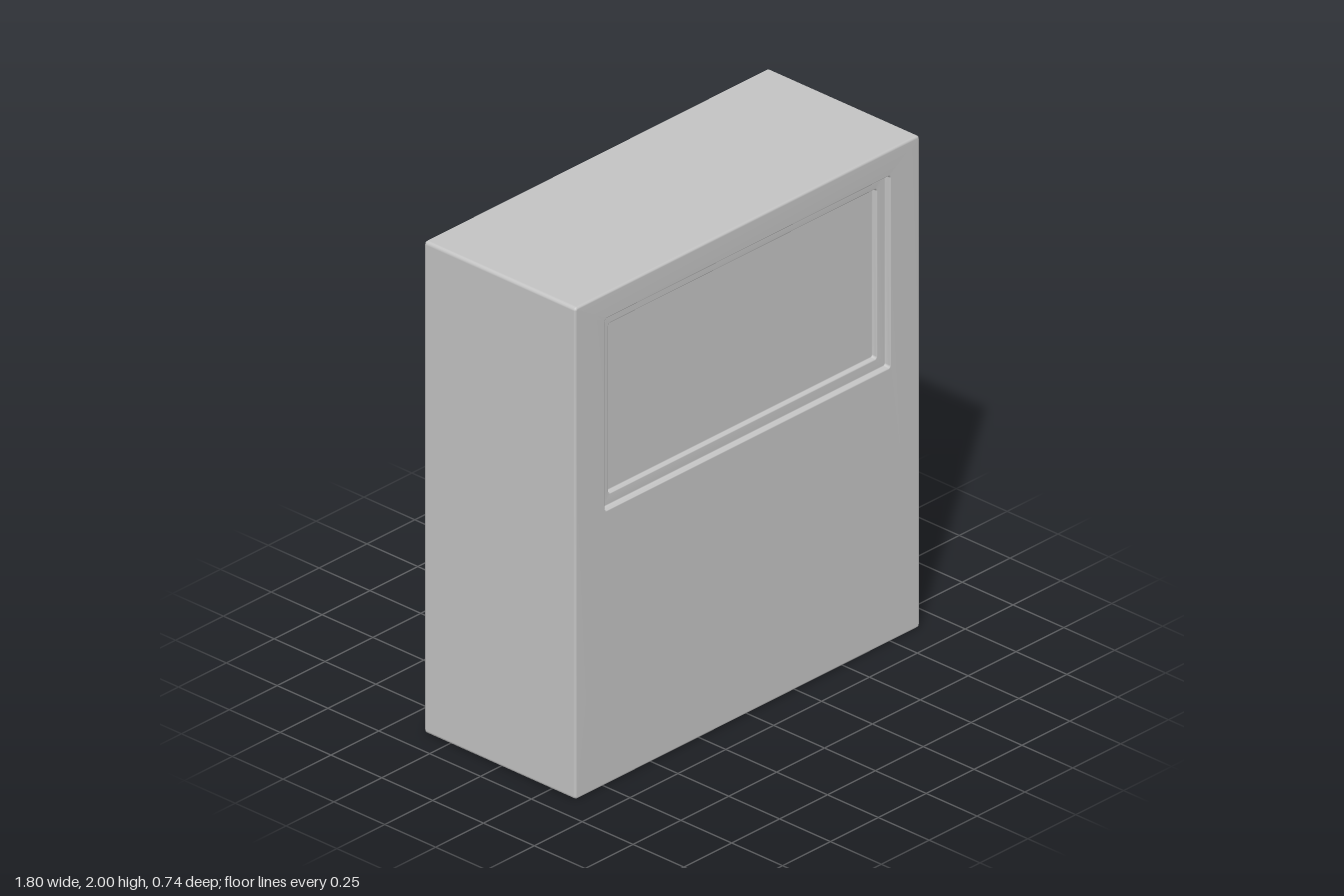
import * as THREE from 'three';

const CORNER_STEPS = 4;

// Rounded rectangle in the plane z, counter-clockwise seen from the front
function ring([halfW, y0, y1, r, z]) {
  const points = [];
  const corners = [[1, y0, 1, -90], [1, y1, -1, 0], [-1, y1, -1, 90], [-1, y0, 1, 180]];
  for (const [sx, y, sy, start] of corners) {
    for (let i = 0; i <= CORNER_STEPS; i++) {
      const a = THREE.MathUtils.degToRad(start + (90 * i) / CORNER_STEPS);
      points.push([sx * (halfW - r) + r * Math.cos(a), y + sy * r + r * Math.sin(a), z]);
    }
  }
  return points;
}

// Skin a list of rings with quads
function loft(rings) {
  const n = rings[0].length;
  const index = [];
  for (let i = 0; i < rings.length - 1; i++) {
    for (let j = 0; j < n; j++) {
      const k = (j + 1) % n;
      const a = i * n + j, b = i * n + k, c = a + n, d = b + n;
      index.push(a, b, d, a, d, c);
    }
  }
  const geometry = new THREE.BufferGeometry();
  geometry.setAttribute('position', new THREE.Float32BufferAttribute(rings.flat(2), 3));
  geometry.setIndex(index);
  geometry.computeVertexNormals();
  return geometry;
}

export function createModel() {
  const model = new THREE.Group();
  const grey = new THREE.MeshStandardMaterial({ color: 0xc4c4c4 });
  grey.name = 'light grey';

  const W = 0.9, H = 2, Z = 0.372, B = 0.01;
  const rings = [];
  const add = (halfW, y0, y1, r, z) => rings.push(ring([halfW, y0, y1, r, z]));
  const outline = (inset, z) => add(W - inset, inset, H - inset, 0.014 - inset, z);

  // Back face and the rounded outer edges
  add(0, 1, 1, 0, -Z);
  for (let i = 0; i <= 3; i++) {
    const a = (i / 3) * Math.PI / 2;
    outline(B * (1 - Math.sin(a)), -Z + B * (1 - Math.cos(a)));
  }
  for (let i = 0; i <= 3; i++) {
    const a = (i / 3) * Math.PI / 2;
    outline(B * (1 - Math.cos(a)), Z - B * (1 - Math.sin(a)));
  }

  // Two stepped recesses in the front, each with a softened rim
  const recess = (halfW, y0, y1, top, depth) => {
    const e = 0.005;
    add(halfW + e, y0 - e, y1 + e, 0.015, top);
    add(halfW + e * 0.3, y0 - e * 0.3, y1 + e * 0.3, 0.012, top - e * 0.3);
    add(halfW, y0, y1, 0.01, top - e);
    add(halfW, y0, y1, 0.01, top - depth);
    add(halfW - e, y0 + e, y1 - e, 0.006, top - depth);
  };
  recess(0.745, 1.115, 1.895, Z, 0.025);
  recess(0.7, 1.16, 1.85, Z - 0.025, 0.02);
  add(0, 1.505, 1.505, 0, Z - 0.045);

  const cabinet = new THREE.Mesh(loft(rings), grey);
  cabinet.name = 'cabinetWithRecessedPanel';
  model.add(cabinet);
  return model;
}
